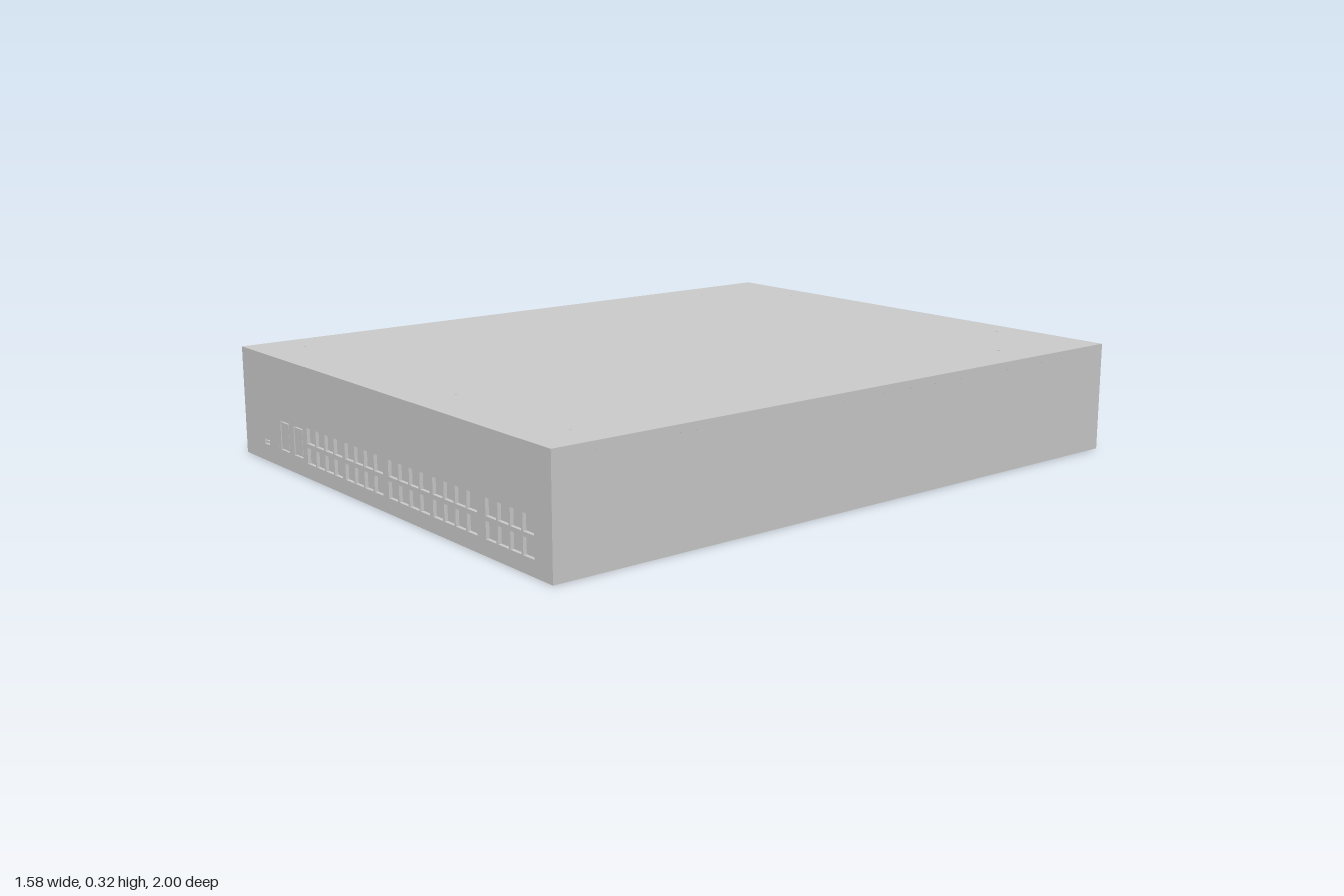
import * as THREE from 'three';

const W = 1.575, H = 0.32, FRONT = 1, BACK = -0.994, T = 0.01;
const grey = new THREE.MeshStandardMaterial({ color: 0xcccccc });

function add(parent, geometry, name, x = 0, y = 0, z = 0) {
  const mesh = new THREE.Mesh(geometry, grey);
  mesh.name = name;
  mesh.position.set(x, y, z);
  parent.add(mesh);
  return mesh;
}

// Adds a box given by its limits
function block(parent, name, x0, x1, y0, y1, z0, z1) {
  return add(parent, new THREE.BoxGeometry(x1 - x0, y1 - y0, z1 - z0), name,
    (x0 + x1) / 2, (y0 + y1) / 2, (z0 + z1) / 2);
}

function rectPath(x0, x1, y0, y1, Type = THREE.Path) {
  const p = new Type();
  p.moveTo(x0, y0).lineTo(x1, y0).lineTo(x1, y1).lineTo(x0, y1).closePath();
  return p;
}

function plate(outline, holes, depth) {
  const shape = rectPath(...outline, THREE.Shape);
  shape.holes.push(...holes);
  return new THREE.ExtrudeGeometry(shape, { depth, bevelEnabled: false, curveSegments: 16 });
}

// Flat screw head facing along the given axis
function screw(parent, x, y, z, axis = 'y', r = 0.004) {
  const m = add(parent, new THREE.CylinderGeometry(r, r, 0.002, 8), 'screw', x, y, z);
  if (axis === 'z') m.rotation.x = Math.PI / 2;
  if (axis === 'x') m.rotation.z = Math.PI / 2;
}

// Grip made of stacked ribs on a backing strip
function ribbedGrip(parent, name, x0, x1, y0, y1, ribs) {
  const g = new THREE.Group();
  g.name = name;
  parent.add(g);
  block(g, 'gripBase', x0, x1, y0, y1, -0.997, BACK + 0.002);
  const step = (y1 - y0) / ribs;
  for (let i = 0; i < ribs; i++) {
    const y = y0 + i * step;
    block(g, 'gripRib', x0, x1, y, y + step * 0.55, -1, -0.996);
  }
}

// Round guard of rings and spokes over a hub, with a grip beside it
function fan(parent, x, y) {
  const g = new THREE.Group();
  g.name = 'fan';
  g.position.set(x, y, BACK + 0.003);
  parent.add(g);
  for (const r of [0.034, 0.046, 0.058, 0.07]) {
    add(g, new THREE.TorusGeometry(r, 0.0025, 6, 32), 'guardRing');
  }
  const hub = add(g, new THREE.CylinderGeometry(0.022, 0.022, 0.008, 24), 'hub');
  hub.rotation.x = Math.PI / 2;
  for (let i = 0; i < 4; i++) {
    const spoke = add(g, new THREE.BoxGeometry(0.158, 0.005, 0.004), 'spoke');
    spoke.rotation.z = Math.PI / 8 + i * Math.PI / 4;
  }
  ribbedGrip(parent, 'fanGrip', x + 0.062, x + 0.086, 0.168, 0.268, 8);
}

export function createModel() {
  const model = new THREE.Group();
  model.name = 'rackUnit';
  block(model, 'chassis', -W / 2, W / 2, 0, H, BACK + T, FRONT - T);

  // Front panel: two rows of ports in five banks, two module bays, a small socket
  const holes = [
    rectPath(-0.666, -0.634, 0.05, 0.066),
    rectPath(-0.56, -0.507, 0.052, 0.138),
    rectPath(-0.478, -0.424, 0.052, 0.138),
    rectPath(-0.578, -0.573, 0.055, 0.06),
  ];
  for (const start of [-0.398, -0.179, 0.053, 0.272, 0.512]) {
    for (let i = 0; i < 4; i++) {
      const x = start + i * 0.0525;
      for (const y of [0.043, 0.101]) holes.push(rectPath(x, x + 0.046, y, y + 0.046));
    }
  }
  add(model, plate([-W / 2, W / 2, 0, H], holes, T), 'frontPanel', 0, 0, FRONT - T);
  block(model, 'socketTongue', -0.66, -0.64, 0.056, 0.06, FRONT - T, FRONT - 0.002);
  for (const x of [-0.5335, -0.451]) {
    block(model, 'bayCover', x - 0.023, x + 0.023, 0.056, 0.134, FRONT - T, FRONT - 0.001);
  }

  // Rear panel with openings for the fans and the inset covers
  const fans = [0.585, 0.33, 0.075, -0.18];
  const covers = [
    [0.365, 0.69, 0.012, 0.1], [0.01, 0.358, 0.012, 0.1],
    [-0.27, 0.003, 0.012, 0.1], [-0.485, -0.277, 0.012, 0.1],
    [-0.507, -0.315, 0.112, 0.205], [-0.507, -0.315, 0.212, 0.308],
    [-0.613, -0.517, 0.07, 0.308], [-0.716, -0.62, 0.07, 0.308],
  ];
  const rearHoles = covers.map(c => rectPath(...c));
  for (const x of fans) {
    rearHoles.push(new THREE.Path().absarc(x, 0.22, 0.078, 0, Math.PI * 2));
  }
  add(model, plate([-W / 2, W / 2, 0, H], rearHoles, T), 'rearPanel', 0, 0, BACK);
  for (const [x0, x1, y0, y1] of covers) {
    const gap = 0.003;
    block(model, 'rearCover', x0 + gap, x1 - gap, y0 + gap, y1 - gap, BACK, BACK + T);
    for (const x of [x0 + 0.012, x1 - 0.012]) screw(model, x, y1 - 0.015, BACK, 'z');
  }
  for (const x of fans) {
    fan(model, x, 0.22);
    for (const y of [0.135, 0.305]) screw(model, x - 0.06, y, BACK, 'z');
  }

  // Power supplies: framed inlet above a ribbed pull
  for (const x of [-0.563, -0.665]) {
    const frame = plate([x - 0.03, x + 0.03, 0.13, 0.2],
      [rectPath(x - 0.022, x + 0.022, 0.138, 0.192)], 0.003);
    add(model, frame, 'inletFrame', 0, 0, BACK - 0.003);
    for (const dx of [-0.011, 0, 0.011]) {
      block(model, 'inletPin', x + dx - 0.002, x + dx + 0.002, 0.158, 0.172, BACK - 0.002, BACK);
    }
    ribbedGrip(model, 'supplyPull', x - 0.011, x + 0.011, 0.05, 0.118, 6);
  }

  // Lid screws and the rivet rows along both sides
  for (const x of [-0.665, 0.17, 0.665]) screw(model, x, H, 0.86);
  for (const x of [-0.665, 0.665]) screw(model, x, H, -0.67);
  for (const x of [-0.46, 0.46]) screw(model, x, H, -0.906);
  for (const side of [-1, 1]) {
    for (let i = 0; i < 40; i++) {
      screw(model, side * W / 2, 0.3, -0.96 + i * 0.0495, 'x', 0.002);
    }
  }
  return model;
}
